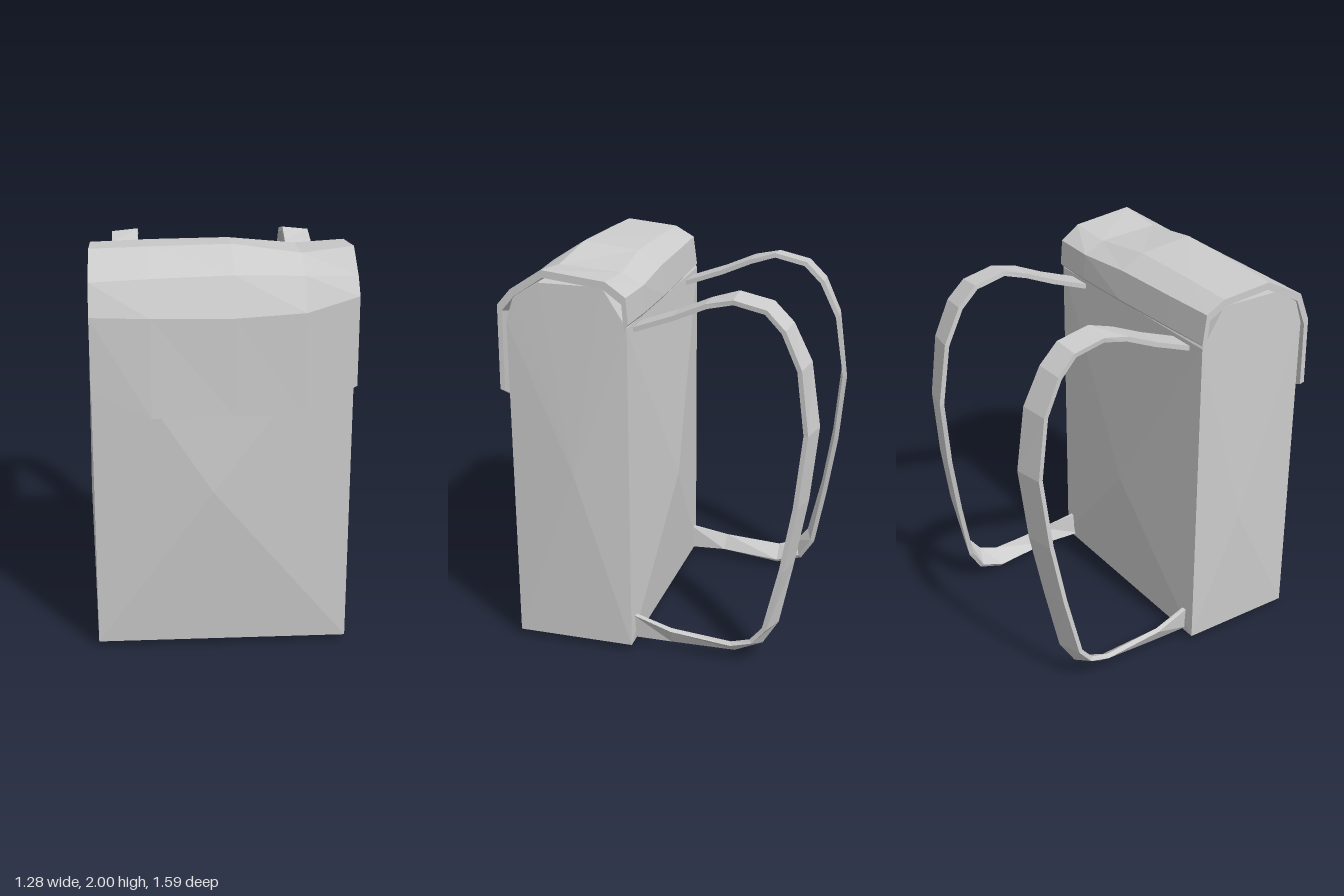
import * as THREE from 'three';

const material = new THREE.MeshStandardMaterial({ color: 0xcccccc, flatShading: true, side: THREE.DoubleSide });

function meshFrom(name, triangles) {
  const geometry = new THREE.BufferGeometry().setFromPoints(triangles);
  geometry.computeVertexNormals();
  const mesh = new THREE.Mesh(geometry, material);
  mesh.name = name;
  return mesh;
}

const quad = (out, a, b, c, d) => out.push(a, b, c, a, c, d);

// Fan of triangles from a raised centre, giving a padded panel
function fan(out, corners, centre) {
  corners.forEach((p, i) => out.push(p, corners[(i + 1) % corners.length], centre));
}

// Closed band through cross-sections; each lists its outer edge, then its inner edge backwards
function loft(name, sections) {
  const out = [], m = sections[0].length, last = sections.length - 1;
  for (let i = 0; i < last; i++) {
    const s = sections[i], t = sections[i + 1];
    for (let j = 0; j < m; j++) {
      const k = (j + 1) % m;
      quad(out, s[j], s[k], t[k], t[j]);
    }
  }
  for (let j = 0; j < m / 2 - 1; j++) {
    const s = sections[0], e = sections[last], p = m - 1 - j;
    quad(out, s[j], s[p], s[p - 1], s[j + 1]);
    quad(out, e[j], e[j + 1], e[p - 1], e[p]);
  }
  return meshFrom(name, out);
}

const V = (x, y, z) => new THREE.Vector3(x, y, z);

// Bag: side profile (z, y) extruded across x, with bulging panels
function createBag() {
  const profile = [[0.1, 0.03], [0.1, 1.73], [0.22, 1.92], [0.54, 1.92], [0.67, 1.84], [0.71, 1.72], [0.71, 0.03]];
  const R = profile.map(([z, y]) => V(-0.62, y, z));
  const L = profile.map(([z, y]) => V(0.615, y, z));
  const out = [];
  const centres = { 0: V(-0.03, 0.74, 0.035), 5: V(-0.05, 0.85, 0.77), 6: V(-0.07, 0, 0.4) };
  for (let i = 0; i < profile.length; i++) {
    const k = (i + 1) % profile.length;
    const corners = [R[i], R[k], L[k], L[i]];
    if (centres[i]) fan(out, corners, centres[i]);
    else quad(out, ...corners);
  }
  fan(out, [...R].reverse(), V(-0.645, 0.72, 0.36));
  fan(out, L, V(0.64, 0.95, 0.38));
  return meshFrom('bag', out);
}

// Flap: sagging sheet over the top, hem cut away at both front corners
function createFlap() {
  const rows = [
    [-0.62, [[0.1, 1.75], [0.12, 1.90], [0.22, 1.955], [0.49, 1.98], [0.70, 1.87], [0.76, 1.72], [0.765, 1.37]]],
    [-0.34, [[0.09, 1.75], [0.11, 1.90], [0.22, 1.965], [0.50, 1.99], [0.69, 1.88], [0.775, 1.715], [0.795, 1.24]]],
    [0.05, [[0.08, 1.75], [0.10, 1.90], [0.22, 1.97], [0.51, 2.0], [0.68, 1.89], [0.775, 1.71], [0.785, 1.24]]],
    [0.38, [[0.08, 1.75], [0.09, 1.88], [0.20, 1.935], [0.52, 1.955], [0.67, 1.88], [0.77, 1.73], [0.775, 1.24]]],
    [0.625, [[0.09, 1.75], [0.10, 1.88], [0.20, 1.95], [0.52, 1.985], [0.68, 1.88], [0.75, 1.80], [0.755, 1.37]]],
  ];
  return loft('flap', rows.map(([x, points]) => {
    const outer = points.map(([z, y]) => V(x, y, z));
    const inner = points.map(([z, y]) => V(x, 1.24 + (y - 1.24) * 0.95, 0.4 + (z - 0.4) * 0.93));
    return [...outer, ...inner.reverse()];
  }));
}

// Shoulder strap: flat band along a path, twisting upright at its lower end
function createStrap(side) {
  // x, y, z, half width, twist
  const path = [
    [0.455, 1.69, 0.12, 0.068, 0], [0.455, 1.77, -0.1, 0.068, 0], [0.455, 1.84, -0.26, 0.068, 0],
    [0.455, 1.875, -0.39, 0.068, 0.1], [0.455, 1.84, -0.55, 0.07, 0.1], [0.46, 1.75, -0.64, 0.072, 0.1],
    [0.46, 1.57, -0.725, 0.075, 0.15], [0.465, 1.25, -0.77, 0.075, 0.2], [0.49, 0.88, -0.735, 0.075, 0.2],
    [0.52, 0.55, -0.68, 0.072, 0.2], [0.54, 0.22, -0.61, 0.068, 0.3], [0.545, 0.12, -0.54, 0.06, 0.5],
    [0.55, 0.075, -0.42, 0.052, 0.7], [0.565, 0.095, -0.1, 0.045, 1.1], [0.55, 0.115, 0.11, 0.065, 1.5],
  ];
  const points = path.map(([x, y, z]) => V(x, y, z));
  const sections = path.map(([, , , half, twist], i) => {
    const tangent = points[Math.min(i + 1, path.length - 1)].clone().sub(points[Math.max(i - 1, 0)]).setX(0).normalize();
    const across = V(1, 0, 0).applyAxisAngle(tangent, twist);
    const outward = across.clone().cross(tangent);
    return [[-1, 1], [1, 1], [1, -1], [-1, -1]].map(([w, t]) => {
      const p = points[i].clone().addScaledVector(across, w * half).addScaledVector(outward, t * 0.012);
      p.x *= side;
      return p;
    });
  });
  if (side < 0) sections.reverse(); // keeps faces outward on the mirrored strap
  return loft(side > 0 ? 'leftStrap' : 'rightStrap', sections);
}

export function createModel() {
  const group = new THREE.Group();
  group.name = 'backpack';
  group.add(createBag(), createFlap(), createStrap(1), createStrap(-1));
  return group;
}
